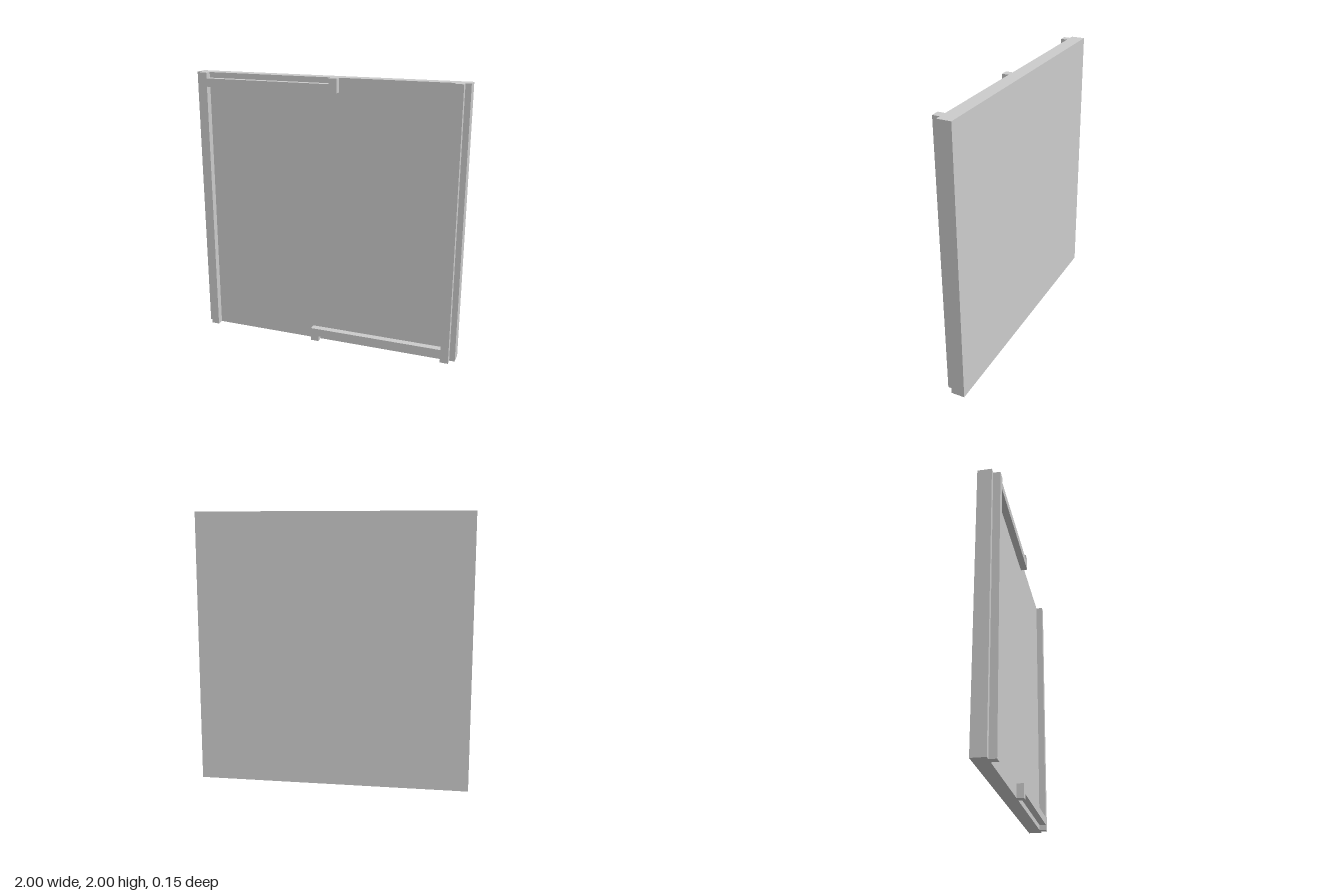
import * as THREE from 'three';

export function createModel() {
  const group = new THREE.Group();
  const material = new THREE.MeshStandardMaterial({ color: 0xcccccc, flatShading: true });
  const panelDepth = 0.1, ridgeDepth = 0.05;
  const back = -(panelDepth + ridgeDepth) / 2;

  // Flat square panel
  const panel = new THREE.Mesh(new THREE.BoxGeometry(2, 2, panelDepth), material);
  panel.name = 'panel';
  panel.position.set(0, 1, back + panelDepth / 2);
  group.add(panel);

  // Raised ridge: full-height upright, arm along one edge, short end turned out to the edge.
  // Drawn around the panel centre so that the second is a half turn of the first.
  const outline = [
    [-0.96, -1], [-0.9, -1], [-0.9, 0.9], [0.1, 0.9], [0.1, 1],
    [0.04, 1], [0.04, 0.96], [-0.9, 0.96], [-0.9, 1], [-0.96, 1],
  ].map(([x, y]) => new THREE.Vector2(x, y));
  const ridgeGeometry = new THREE.ExtrudeGeometry(new THREE.Shape(outline), {
    depth: ridgeDepth, bevelEnabled: false,
  });
  ['rightRidge', 'leftRidge'].forEach((name, i) => {
    const ridge = new THREE.Mesh(ridgeGeometry, material);
    ridge.name = name;
    ridge.position.set(0, 1, back + panelDepth);
    ridge.rotation.z = i * Math.PI;
    group.add(ridge);
  });

  return group;
}
